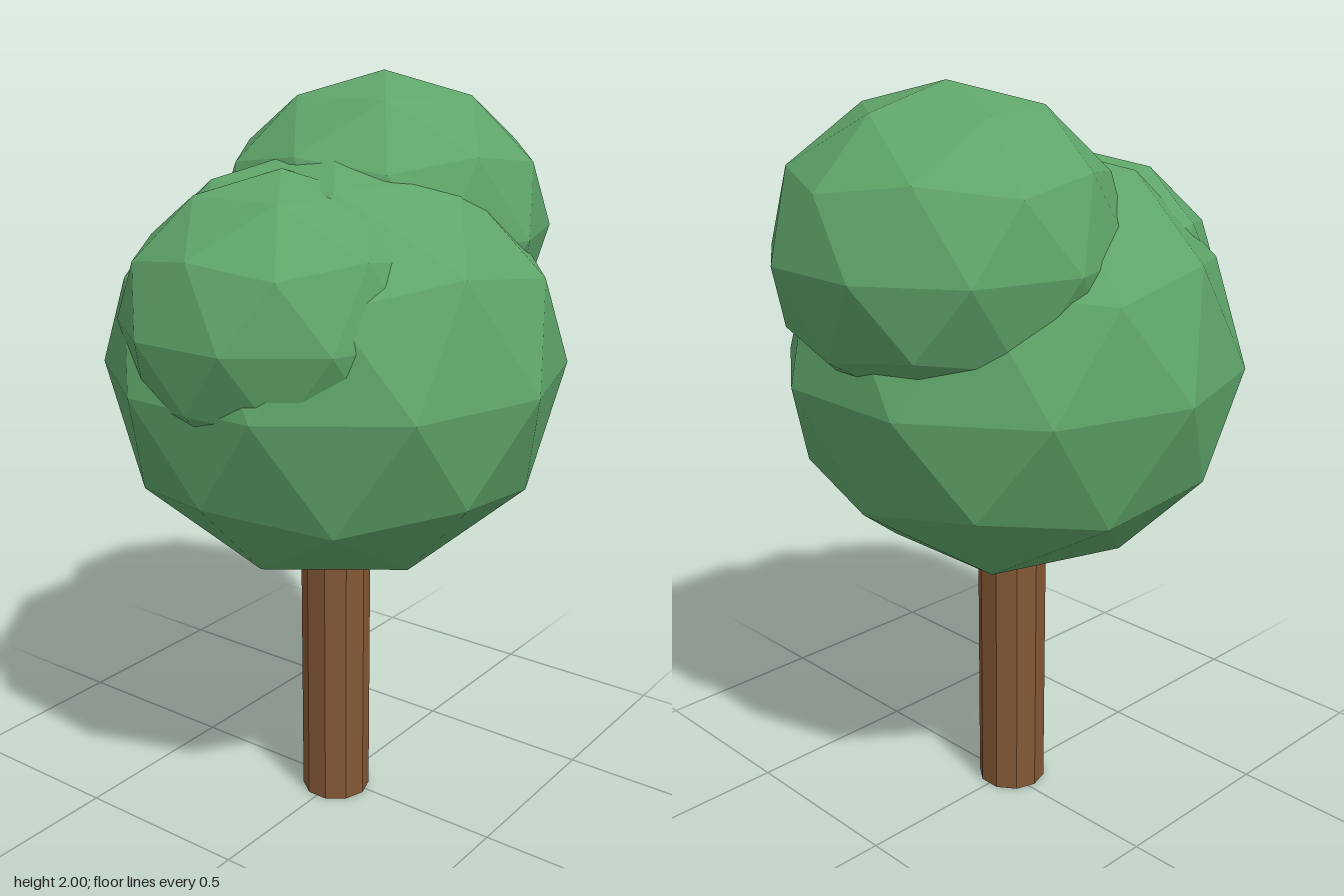
import * as THREE from 'three';

const leaf = new THREE.MeshStandardMaterial({ color: 0x5fa56a });
leaf.name = 'leafGreen';
const bark = new THREE.MeshStandardMaterial({ color: 0x855836 });
bark.name = 'barkBrown';

// Faceted mesh: unshared corners give one normal per face
function faceted(geometry, material, name) {
  const flat = geometry.index ? geometry.toNonIndexed() : geometry;
  flat.computeVertexNormals();
  const mesh = new THREE.Mesh(flat, material);
  mesh.name = name;
  return mesh;
}

// Squashed icosphere with a corner at the top and an upper ring corner towards +x
function foliage(name, radius, height, x, y, z) {
  const geometry = new THREE.IcosahedronGeometry(1, 1);
  geometry.rotateZ(-Math.atan2(2, 1 + Math.sqrt(5)));
  geometry.scale(radius, height, radius);
  const mesh = faceted(geometry, leaf, name);
  mesh.position.set(x, y, z);
  return mesh;
}

export function createModel() {
  const tree = new THREE.Group();
  tree.name = 'tree';

  // Ten-sided trunk running up into the crown
  const trunk = faceted(new THREE.CylinderGeometry(0.095, 0.095, 0.9, 10), bark, 'trunk');
  trunk.position.set(-0.02, 0.45, 0);

  // Crown of three overlapping clumps
  tree.add(
    trunk,
    foliage('mainFoliage', 0.61, 0.57, -0.02, 1.27, 0),
    foliage('upperLeftFoliage', 0.45, 0.402, 0.22, 1.598, -0.02),
    foliage('rightFoliage', 0.41, 0.365, -0.26, 1.43, 0.02),
  );
  return tree;
}
